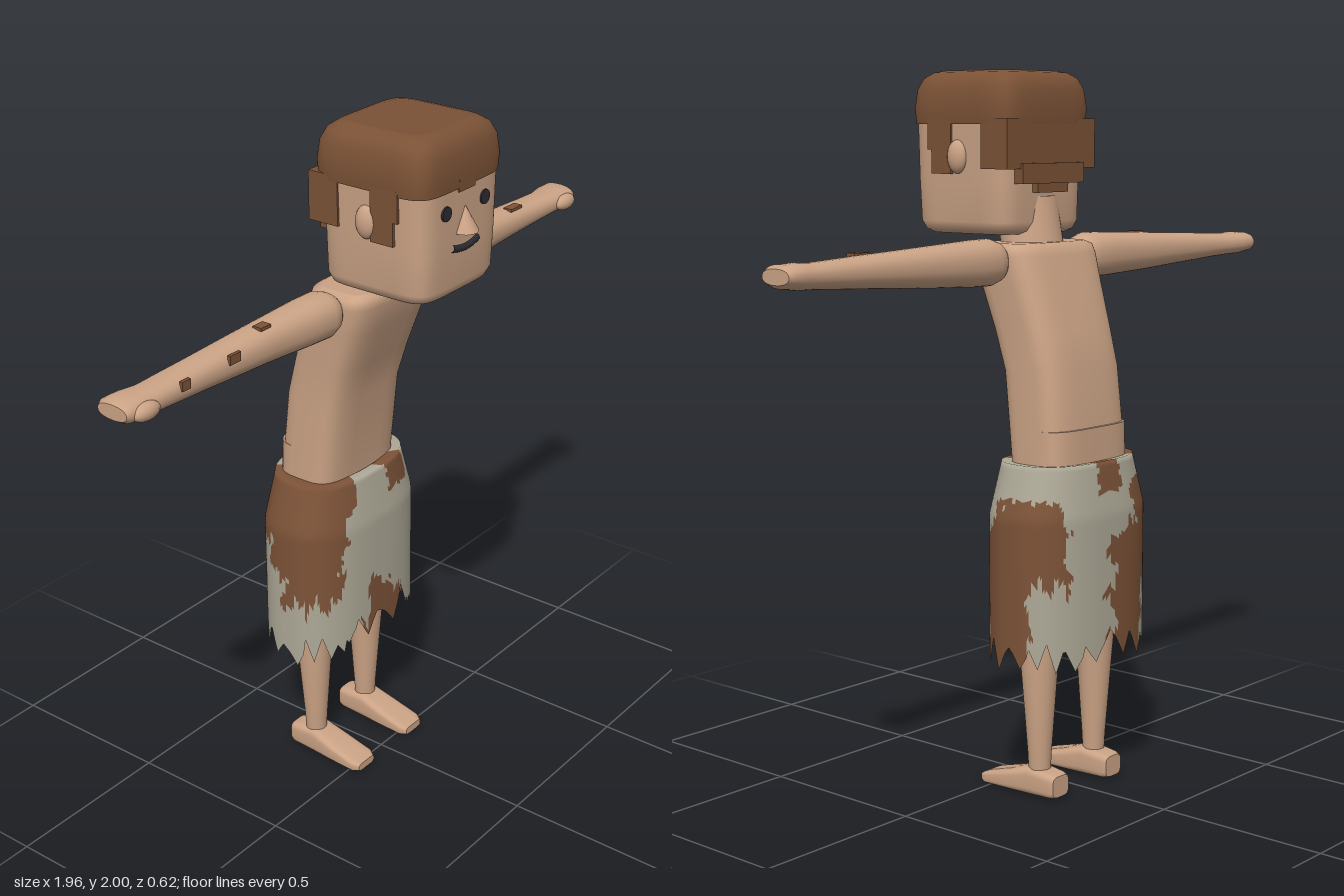
import * as THREE from 'three';

const mat = (name, color) => Object.assign(new THREE.MeshStandardMaterial({ color }), { name });

// Point on a rounded-rectangle-like ring
const sup = (v, n) => Math.sign(v) * Math.pow(Math.abs(v), 2 / n);

// Loft through sections [u, c1, c2, r1, r2]; u ascends along the axis.
// axis y: c1 = x, c2 = z;  axis x: c1 = z, c2 = y;  axis z: c1 = y, c2 = x
function loft(sections, n = 2, axis = 'y', seg = 32) {
  const pos = [], idx = [];
  const put = (a, u, b) => {
    if (axis === 'x') pos.push(u, b, a);
    else if (axis === 'z') pos.push(b, a, u);
    else pos.push(a, u, b);
  };
  const ring = ([u, c1, c2, r1, r2]) => {
    for (let i = 0; i < seg; i++) {
      const t = (i / seg) * Math.PI * 2;
      put(c1 + r1 * sup(Math.cos(t), n), u, c2 + r2 * sup(Math.sin(t), n));
    }
  };
  sections.forEach(ring);
  for (let j = 0; j < sections.length - 1; j++) {
    for (let i = 0; i < seg; i++) {
      const k = (i + 1) % seg, a = j * seg + i, b = j * seg + k;
      idx.push(a, a + seg, b, b, a + seg, b + seg);
    }
  }
  [sections[0], sections[sections.length - 1]].forEach((s, end) => {
    const base = pos.length / 3;
    ring(s);
    put(s[1], s[0], s[2]);
    for (let i = 0; i < seg; i++) {
      const k = (i + 1) % seg;
      idx.push(base + seg, base + (end ? k : i), base + (end ? i : k));
    }
  });
  const g = new THREE.BufferGeometry();
  g.setAttribute('position', new THREE.Float32BufferAttribute(pos, 3));
  g.setIndex(idx);
  g.computeVertexNormals();
  return g;
}

// Brown patches on the skirt: [angle from, angle to, y from, y to]; 0 = front, 90 = +x
const PATCHES = [
  [6, 36, 0.86, 0.96], [-18, 18, 0.3, 0.5], [-8, 9, 0.5, 0.6],
  [58, 146, 0.62, 0.78], [76, 142, 0.78, 0.85], [58, 108, 0.3, 0.62],
  [172, 188, 0.86, 0.96], [181, 214, 0.3, 0.76], [202, 238, 0.56, 0.88],
  [222, 340, 0.84, 0.96], [228, 331, 0.76, 0.84], [255, 329, 0.66, 0.76], [268, 325, 0.57, 0.66],
];
function isBrown(deg, y) {
  const a = deg + 3 * Math.sin(y * 47) + 1.5 * Math.sin(y * 113);
  const h = y > 0.83 ? y : y + 0.02 * Math.sin(deg * 0.31) + 0.015 * Math.sin(deg * 0.83);
  return PATCHES.some(([a0, a1, y0, y1]) =>
    h > y0 && h < y1 && [a - 360, a, a + 360].some((d) => d > a0 && d < a1));
}

// Ragged skirt: tapered waist, straight sides, zigzag hem
function skirtGeometry() {
  const cols = 160, rows = 36, pos = [], sets = [[], []];
  const hem = (i) => {
    const tooth = Math.floor(i / 8), f = Math.abs((i % 8) - 4) / 4;
    const deg = (i / cols) * 360, front = Math.abs(deg > 180 ? deg - 360 : deg) < 30 ? 0.05 : 0;
    return 0.37 + front + 0.025 * Math.abs(Math.sin(tooth * 2.3)) + f * (0.065 + 0.02 * Math.sin(i >> 2));
  };
  for (let j = 0; j <= rows; j++) {
    for (let i = 0; i <= cols; i++) {
      const c = i % cols, t = (c / cols) * Math.PI * 2;
      const rim = j === 0;
      const y = rim ? 0.94 : 0.945 - (0.945 - hem(c)) * ((j - 1) / (rows - 1));
      const w = THREE.MathUtils.clamp((0.945 - y) / 0.145, 0, 1);
      const rx = rim ? 0.165 : 0.208 + 0.042 * w, rz = rim ? 0.1 : 0.134 + 0.021 * w;
      pos.push(rx * sup(Math.sin(t), 2.6), y, -0.154 + rz * sup(Math.cos(t), 2.6));
    }
  }
  for (let j = 0; j < rows; j++) {
    for (let i = 0; i < cols; i++) {
      const a = j * (cols + 1) + i, b = a + cols + 1;
      const y = (pos[a * 3 + 1] + pos[b * 3 + 1]) / 2;
      sets[isBrown(((i + 0.5) / cols) * 360, y) ? 1 : 0].push(a, b, a + 1, a + 1, b, b + 1);
    }
  }
  const g = new THREE.BufferGeometry();
  g.setAttribute('position', new THREE.Float32BufferAttribute(pos, 3));
  g.setIndex([...sets[0], ...sets[1]]);
  g.addGroup(0, sets[0].length, 0);
  g.addGroup(sets[0].length, sets[1].length, 1);
  g.computeVertexNormals();
  return g;
}

export function createModel() {
  const model = new THREE.Group();
  model.name = 'castaway';
  const skin = mat('skin', 0xcba385);
  const hair = mat('hair', 0x7b5236);
  const cloth = mat('cloth', 0xaea997);
  const patch = mat('clothPatch', 0x7d5338);
  const dark = mat('dark', 0x2c2b31);
  cloth.side = patch.side = THREE.DoubleSide;
  const add = (name, geo, material, x = 0, y = 0, z = 0) => {
    const m = new THREE.Mesh(geo, material);
    m.name = name;
    m.position.set(x, y, z);
    model.add(m);
    return m;
  };
  const box = (name, material, x0, x1, y0, y1, z0, z1) =>
    add(name, new THREE.BoxGeometry(x1 - x0, y1 - y0, z1 - z0), material,
      (x0 + x1) / 2, (y0 + y1) / 2, (z0 + z1) / 2);

  // Body, leaning forward towards the shoulders
  add('torso', loft([
    [0.85, 0, -0.16, 0.17, 0.1], [0.95, 0, -0.158, 0.17, 0.1], [1.19, 0, -0.132, 0.165, 0.102],
    [1.3, 0, -0.1, 0.167, 0.105], [1.42, 0, -0.06, 0.174, 0.108], [1.5, 0, -0.036, 0.18, 0.108],
    [1.525, 0, -0.034, 0.174, 0.1], [1.535, 0, -0.032, 0.15, 0.085],
  ], 4, 'y', 48), skin);
  add('pelvis', loft([[0.85, 0, -0.163, 0.171, 0.1], [1.035, 0, -0.156, 0.168, 0.102]], 4, 'y', 48), skin);
  add('neck', loft([[1.49, 0, -0.03, 0.105, 0.09], [1.54, 0, -0.022, 0.092, 0.083],
    [1.66, 0, -0.005, 0.085, 0.08]]), skin);
  add('skirt', skirtGeometry(), [cloth, patch]);

  // Head and face
  add('head', loft([
    [1.557, 0, 0.095, 0.145, 0.145], [1.566, 0, 0.095, 0.162, 0.162], [1.59, 0, 0.096, 0.173, 0.172],
    [1.7, 0, 0.097, 0.178, 0.174], [1.88, 0, 0.097, 0.184, 0.175],
  ], 6, 'y', 64), skin);
  add('nose', new THREE.ConeGeometry(0.038, 0.07, 16), skin, 0, 1.767, 0.271);
  const smile = new THREE.QuadraticBezierCurve3(
    new THREE.Vector3(-0.058, 1.698, 0), new THREE.Vector3(0, 1.676, 0), new THREE.Vector3(0.058, 1.698, 0));
  add('mouth', new THREE.TubeGeometry(smile, 16, 0.01, 8), dark, 0, 0, 0.27);

  // Hair cap, fringe and stepped back
  add('hairCap', loft([
    [1.855, 0, 0.09, 0.188, 0.186], [1.9, 0, 0.09, 0.192, 0.188], [1.95, 0, 0.09, 0.185, 0.182],
    [1.98, 0, 0.09, 0.17, 0.168], [1.995, 0, 0.09, 0.147, 0.147], [2, 0, 0.09, 0.125, 0.125],
  ], 6, 'y', 64), hair);
  box('fringe', hair, -0.035, 0.035, 1.845, 1.88, 0.25, 0.277);
  box('backHair', hair, -0.186, 0.186, 1.735, 1.87, -0.095, 0);
  box('napeHair', hair, -0.13, 0.13, 1.695, 1.75, -0.102, -0.04);
  box('napeTuft', hair, -0.07, 0.06, 1.67, 1.72, -0.095, -0.06);

  // Mirrored parts
  for (const s of [1, -1]) {
    const side = s > 0 ? 'left' : 'right';
    const eye = add(side + 'Eye', new THREE.CylinderGeometry(0.02, 0.02, 0.008, 20), dark, s * 0.085, 1.8, 0.272);
    eye.rotation.x = Math.PI / 2;
    add(side + 'Ear', new THREE.SphereGeometry(1, 20, 14), skin, s * 0.18, 1.767, 0.09).scale.set(0.024, 0.046, 0.032);
    const xs = [s * 0.15, s * 0.189].sort((a, b) => a - b);
    box(side + 'Sideburn', hair, ...xs, 1.785, 1.87, 0.108, 0.194);
    box(side + 'SideburnTip', hair, ...xs, 1.72, 1.79, 0.108, 0.18);

    // Arm with a mitten hand and thumb
    const arm = [
      [0.165, -0.042, 1.487, 0.042, 0.04], [0.185, -0.042, 1.487, 0.055, 0.055],
      [0.215, -0.042, 1.487, 0.063, 0.064], [0.28, -0.045, 1.487, 0.061, 0.063],
      [0.45, -0.05, 1.487, 0.053, 0.055], [0.7, -0.05, 1.488, 0.049, 0.042],
      [0.87, -0.05, 1.488, 0.05, 0.033], [0.92, -0.052, 1.49, 0.056, 0.034],
      [0.965, -0.053, 1.492, 0.057, 0.03], [0.98, -0.053, 1.492, 0.048, 0.02],
    ].map(([u, ...r]) => [u * s, ...r]);
    add(side + 'Arm', loft(s > 0 ? arm : arm.reverse(), 2.3, 'x'), skin);
    add(side + 'Thumb', new THREE.SphereGeometry(1, 16, 12), skin, s * 0.92, 1.488, 0).scale.set(0.045, 0.024, 0.022);

    // Leg and wedge foot
    add(side + 'Leg', loft([
      [0.05, s * 0.12, -0.155, 0.03, 0.03], [0.12, s * 0.12, -0.155, 0.034, 0.033],
      [0.4, s * 0.122, -0.155, 0.055, 0.054], [0.8, s * 0.1, -0.155, 0.075, 0.08],
    ]), skin);
    add(side + 'Foot', loft([
      [-0.23, 0.036, s * 0.118, 0.03, 0.034], [-0.215, 0.037, s * 0.118, 0.035, 0.04],
      [-0.14, 0.041, s * 0.118, 0.041, 0.044], [-0.07, 0.03, s * 0.118, 0.03, 0.048],
      [0.015, 0.018, s * 0.118, 0.018, 0.048], [0.035, 0.015, s * 0.118, 0.012, 0.036],
    ], 4, 'z'), skin);
  }

  // Small brown marks on the front and top of the arms
  for (const [x, y, w] of [[-0.78, 1.505, 0.03], [-0.6, 1.511, 0.04], [0.38, 1.515, 0.045]])
    add('armMark', new THREE.BoxGeometry(w, 0.026, 0.009), patch, x, y, Math.abs(x) < 0.5 ? 0.005 : -0.001);
  for (const [x, y, w] of [[-0.46, 1.541, 0.038], [0.68, 1.531, 0.055]])
    add('armMark', new THREE.BoxGeometry(w, 0.009, 0.028), patch, x, y, -0.03);
  return model;
}
